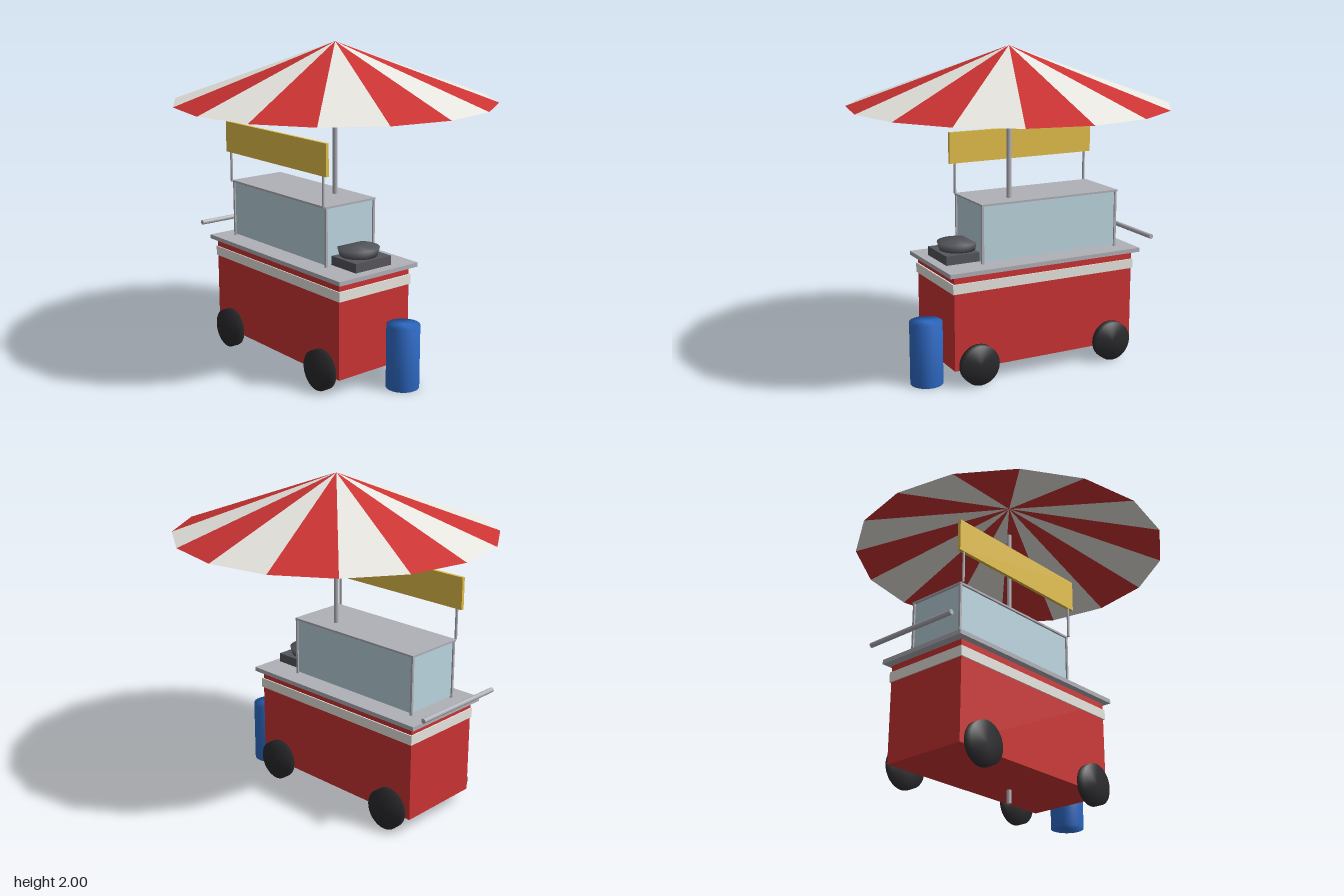
import * as THREE from 'three';
import { mergeVertices } from 'three/addons/utils/BufferGeometryUtils.js';

const mat = (color, extra = {}) => new THREE.MeshStandardMaterial({ color, ...extra });
const red = mat(0xcc3333), white = mat(0xe8e6e0), metal = mat(0xb0b0b8), glass = mat(0xbcd6e0);
const yellow = mat(0xe3bf48), blue = mat(0x2f6cc8), rubber = mat(0x2a2a2d), iron = mat(0x55565c);

export function createModel() {
  const model = new THREE.Group();
  model.name = 'foodCart';

  function add(name, geometry, material) {
    const mesh = new THREE.Mesh(geometry, material);
    mesh.name = name;
    model.add(mesh);
    return mesh;
  }

  // Box given by its limits along each axis
  function box(name, material, [x0, x1], [y0, y1], [z0, z1]) {
    add(name, new THREE.BoxGeometry(x1 - x0, y1 - y0, z1 - z0), material)
      .position.set((x0 + x1) / 2, (y0 + y1) / 2, (z0 + z1) / 2);
  }

  // Upright rod between two heights
  function rod(name, r, x, z, y0, y1) {
    add(name, new THREE.CylinderGeometry(r, r, y1 - y0, 12), metal).position.set(x, (y0 + y1) / 2, z);
  }

  // Drum whose shading runs smoothly over its rims
  function drum(rTop, rBottom, height, sides = 32) {
    const g = new THREE.CylinderGeometry(rTop, rBottom, height, sides);
    g.deleteAttribute('normal');
    g.deleteAttribute('uv');
    const merged = mergeVertices(g);
    merged.computeVertexNormals();
    return merged;
  }

  // Cart body, stripe and counter
  box('body', red, [-0.775, 0.46], [0.1, 0.68], [-0.19, 0.35]);
  box('stripe', white, [-0.782, 0.47], [0.58, 0.64], [-0.198, 0.357]);
  box('counter', metal, [-0.815, 0.5], [0.688, 0.714], [-0.225, 0.38]);

  // Wheels
  for (const x of [-0.62, 0.31]) {
    for (const z of [0.373, -0.215]) {
      const wheel = add('wheel', drum(0.123, 0.123, 0.05), rubber);
      wheel.rotation.x = Math.PI / 2;
      wheel.position.set(x, 0.127, z);
    }
  }

  // Display case with corner posts and roof
  box('displayCase', glass, [-0.698, 0.23], [0.724, 1.068], [-0.104, 0.258]);
  box('displayRoof', metal, [-0.71, 0.24], [1.068, 1.08], [-0.115, 0.27]);
  for (const x of [-0.7, 0.232])
    for (const z of [-0.106, 0.26])
      box('casePost', metal, [x - 0.007, x + 0.007], [0.714, 1.07], [z - 0.007, z + 0.007]);

  // Sign board on two posts
  box('signBoard', yellow, [-0.74, 0.27], [1.265, 1.46], [0.27, 0.29]);
  for (const x of [-0.7, 0.232]) rod('signPost', 0.008, x, 0.28, 1.075, 1.27);

  // Stove with pan
  box('stove', iron, [0.175, 0.448], [0.72, 0.776], [-0.058, 0.216]);
  add('pan', drum(0.126, 0.112, 0.05), iron).position.set(0.312, 0.801, 0.079);

  // Push handle
  const handle = add('handle', new THREE.CylinderGeometry(0.015, 0.015, 0.625, 16), metal);
  handle.rotation.x = Math.PI / 2;
  handle.position.set(-0.895, 0.78, 0.0775);

  // Gas cylinder beside the cart
  add('gasCylinder', drum(0.1, 0.1, 0.39), blue).position.set(0.58, 0.195, -0.04);

  // Umbrella pole
  rod('umbrellaPole', 0.015, 0, 0, 0.02, 1.8);

  // Umbrella canopy in 16 alternating flat panels
  const panels = 16, radius = 0.97;
  const canopyMats = [red, white].map(m => mat(m.color, { side: THREE.DoubleSide, flatShading: true }));
  const rim = i => {
    const a = (i / panels) * Math.PI * 2;
    return [radius * Math.cos(a), 1.65, radius * Math.sin(a)];
  };
  for (let i = 0; i < panels; i++) {
    const g = new THREE.BufferGeometry();
    g.setAttribute('position', new THREE.Float32BufferAttribute([0, 2, 0, ...rim(i + 1), ...rim(i)], 3));
    g.computeVertexNormals();
    add('canopyPanel', g, canopyMats[i % 2]);
  }

  return model;
}
